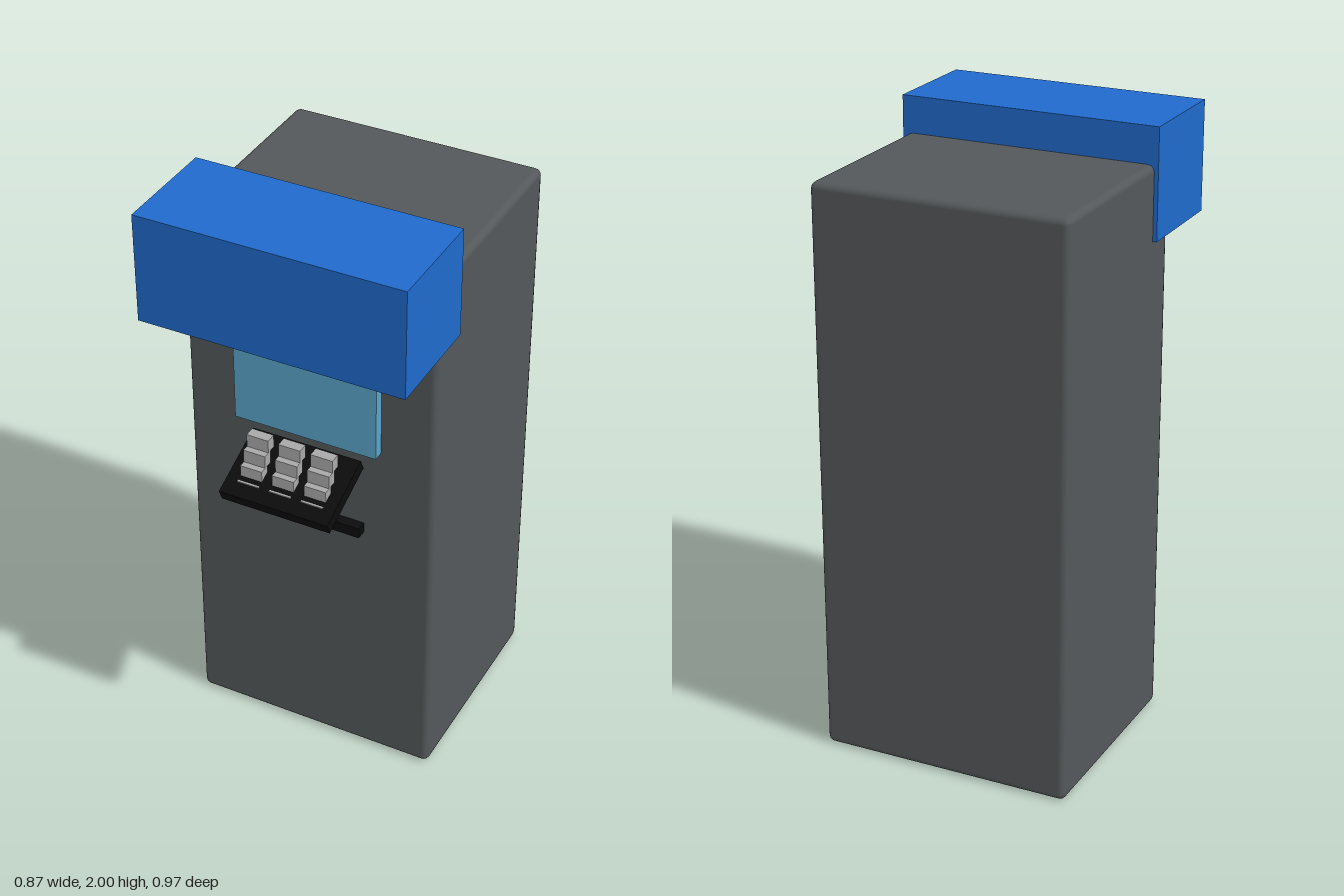
import * as THREE from 'three';
import { RoundedBoxGeometry } from 'three/addons/geometries/RoundedBoxGeometry.js';

const material = (name, color) => {
  const m = new THREE.MeshStandardMaterial({ color });
  m.name = name;
  return m;
};

export function createModel() {
  const group = new THREE.Group();
  group.name = 'cashMachine';

  const grey = material('bodyGrey', 0x54585a);
  const blue = material('headerBlue', 0x206acb);
  const glass = material('screenBlue', 0x5aa4ca);
  const black = material('black', 0x0c0c0c);
  const silver = material('keySilver', 0xa8a8a8);

  const add = (name, geometry, mat, x, y, z) => {
    const mesh = new THREE.Mesh(geometry, mat);
    mesh.name = name;
    mesh.position.set(x, y, z);
    group.add(mesh);
    return mesh;
  };
  const box = (w, h, d) => new THREE.BoxGeometry(w, h, d);

  // Cabinet with softened edges
  add('cabinet', new RoundedBoxGeometry(0.843, 1.88, 0.725, 2, 0.022), grey, 0, 0.94, -0.1225);

  // Overhanging header
  add('header', box(0.87, 0.36, 0.363), blue, 0, 1.82, 0.3035);

  // Screen and card slot on the front face
  add('screen', box(0.482, 0.36, 0.055), glass, 0, 1.4, 0.2475);
  add('cardSlot', box(0.37, 0.036, 0.055), black, 0, 0.913, 0.2475);

  // Keypad shelf sloping down to the front
  const shelf = add('keypadShelf', box(0.37, 0.043, 0.24), black, 0, 1.12, 0.365);
  shelf.rotation.x = 0.4;

  // Stepped keys, lowest row mostly sunk into the shelf
  const keyGeometry = box(0.074, 0.044, 0.035);
  for (let row = 0; row < 4; row++) {
    for (let col = -1; col <= 1; col++) {
      add('key', keyGeometry, silver, col * 0.109, 1.225 - row * 0.044, 0.356 + row * 0.022);
    }
  }

  return group;
}
